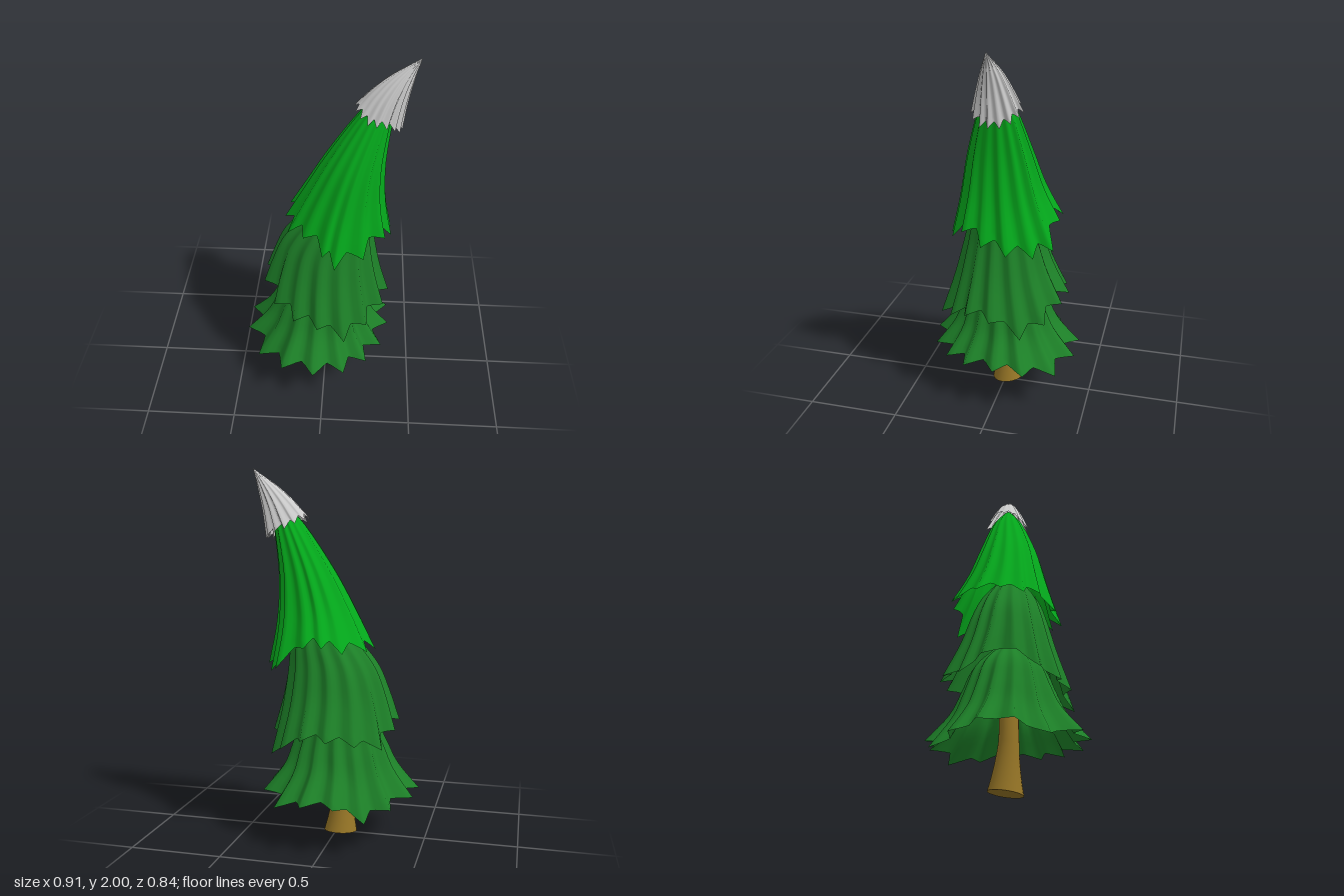
import * as THREE from 'three';

const PLEATS = 15, SAMPLES = 6, ROWS = 16;

function paint(color) {
  return new THREE.MeshStandardMaterial({ color, side: THREE.DoubleSide });
}

// Pleated skirt lofted through rings [y, xMin, xMax, zMin, zMax], listed from top to hem.
// tips holds [x, y, z] of each pleat's ragged end, starting near +x and going round by +z.
function skirt(name, material, rings, tips, { depth, droop, phase }) {
  const curve = (a, b) => new THREE.CatmullRomCurve3(
    rings.map(r => new THREE.Vector3(r[a], r[0], r[b])), false, 'catmullrom', 0.5);
  const xs = curve(1, 2), zs = curve(3, 4);
  const count = PLEATS * SAMPLES;

  // point on the smooth, unpleated surface, with the fold depth k
  const surface = (s, a, k) => {
    const x = xs.getPoint(s), z = zs.getPoint(s);
    return new THREE.Vector3(
      (x.x + x.z) / 2 + (x.z - x.x) / 2 * k * Math.cos(a), x.y,
      (z.x + z.z) / 2 + (z.z - z.x) / 2 * k * Math.sin(a));
  };
  // how far each pleat's end strays from the even hem
  const strays = tips.map((tip, n) =>
    new THREE.Vector3(...tip).sub(surface(1, n / PLEATS * Math.PI * 2 + phase, 1)));

  const positions = [], indices = [];
  for (let i = 0; i <= ROWS; i++) {
    const s = i / ROWS;
    for (let j = 0; j < count; j++) {
      const a = (j / count) * Math.PI * 2 + phase;
      const pleat = Math.floor(j / SAMPLES), f = (j / SAMPLES) % 1;
      // 1 on a pleat's ridge, 0 in the fold
      const ridge = Math.abs(f * 2 - 1) ** 1.3;
      const point = surface(s, a, 1 - depth * (0.35 + 0.65 * s) * (1 - ridge));
      const stray = strays[pleat].clone().lerp(strays[(pleat + 1) % PLEATS], f);
      point.addScaledVector(stray, s ** 2);
      point.y += s ** 2.5 * droop * (1 - ridge);
      positions.push(...point.toArray());
      if (i < ROWS) {
        const p = i * count + j, q = i * count + (j + 1) % count;
        indices.push(p, q, p + count, q, q + count, p + count);
      }
    }
  }
  const geometry = new THREE.BufferGeometry();
  geometry.setAttribute('position', new THREE.Float32BufferAttribute(positions, 3));
  geometry.setIndex(indices);
  geometry.computeVertexNormals();
  const mesh = new THREE.Mesh(geometry, material);
  mesh.name = name;
  return mesh;
}

// Flared trunk with a slightly slanted foot
function trunk() {
  const height = 0.75;
  const geometry = new THREE.CylinderGeometry(1, 1, height, 24, 12);
  const pos = geometry.attributes.position;
  for (let i = 0; i < pos.count; i++) {
    const t = pos.getY(i) / height + 0.5;
    const r = 0.05 + 0.041 * Math.max(0, 1 - t * 2.2) ** 2;
    const z = pos.getZ(i);
    pos.setXYZ(i,
      -0.03 - 0.015 * Math.min(1, t * 2.5) + 0.04 * t * t + pos.getX(i) * r,
      0.013 + t * height - 0.013 * z * (1 - t),
      -0.015 + 0.017 * Math.min(1, t * 3) + z * r);
  }
  geometry.computeVertexNormals();
  const mesh = new THREE.Mesh(geometry, paint(0x967526));
  mesh.name = 'trunk';
  return mesh;
}

export function createModel() {
  const tree = new THREE.Group();
  tree.name = 'leaningFirTree';
  const darkGreen = paint(0x1d8128), brightGreen = paint(0x04aa1c), snow = paint(0xffffff);

  tree.add(trunk());
  tree.add(skirt('lowerBranches', darkGreen, [
    [0.78, -0.08, 0.08, -0.08, 0.08],
    [0.66, -0.21, 0.18, -0.19, 0.19],
    [0.53, -0.28, 0.235, -0.245, 0.245],
    [0.4, -0.345, 0.28, -0.305, 0.305],
    [0.26, -0.46, 0.385, -0.425, 0.42],
  ], [
    [0.37, 0.28, -0.02], [0.33, 0.27, 0.155], [0.245, 0.26, 0.28], [0.12, 0.26, 0.378],
    [-0.05, 0.27, 0.417], [-0.23, 0.27, 0.372], [-0.38, 0.215, 0.22], [-0.457, 0.27, 0.055],
    [-0.45, 0.27, -0.12], [-0.355, 0.24, -0.263], [-0.238, 0.195, -0.372], [-0.085, 0.27, -0.42],
    [0.09, 0.27, -0.42], [0.255, 0.23, -0.345], [0.365, 0.27, -0.185],
  ], { depth: 0.19, droop: 0.015, phase: -0.02 }));
  tree.add(skirt('middleBranches', darkGreen, [
    [1.22, 0.02, 0.2, -0.08, 0.08],
    [1.08, -0.125, 0.25, -0.165, 0.165],
    [0.93, -0.235, 0.27, -0.215, 0.215],
    [0.75, -0.3, 0.305, -0.27, 0.27],
    [0.55, -0.355, 0.36, -0.36, 0.345],
  ], [
    [0.36, 0.57, 0], [0.33, 0.58, 0.14], [0.24, 0.52, 0.25], [0.12, 0.47, 0.34],
    [-0.03, 0.54, 0.325], [-0.165, 0.55, 0.275], [-0.28, 0.58, 0.175], [-0.345, 0.65, 0.055],
    [-0.348, 0.63, -0.11], [-0.3, 0.55, -0.23], [-0.175, 0.58, -0.325], [-0.03, 0.6, -0.36],
    [0.11, 0.6, -0.345], [0.24, 0.53, -0.275], [0.325, 0.47, -0.16],
  ], { depth: 0.17, droop: 0.03, phase: 0.02 }));
  tree.add(skirt('upperBranches', brightGreen, [
    [1.84, 0.3, 0.35, -0.045, -0.005],
    [1.7, 0.165, 0.335, -0.115, 0.07],
    [1.45, 0, 0.31, -0.18, 0.16],
    [1.22, -0.125, 0.32, -0.24, 0.22],
    [1.01, -0.23, 0.36, -0.325, 0.285],
  ], [
    [0.355, 1, 0.04], [0.32, 1.06, 0.15], [0.21, 0.98, 0.235], [0.06, 0.94, 0.285],
    [-0.005, 1, 0.255], [-0.11, 1.06, 0.175], [-0.2, 1.03, 0.09], [-0.222, 1.05, -0.03],
    [-0.205, 1.05, -0.16], [-0.1, 1.05, -0.28], [0, 1.08, -0.32], [0.095, 1.08, -0.32],
    [0.245, 0.97, -0.315], [0.3, 0.94, -0.22], [0.355, 0.96, -0.09],
  ], { depth: 0.17, droop: 0.05, phase: 0.21 }));
  tree.add(skirt('snowCap', snow, [
    [2, 0.448, 0.452, -0.027, -0.023],
    [1.9, 0.31, 0.425, -0.078, 0.025],
    [1.8, 0.215, 0.4, -0.115, 0.065],
    [1.68, 0.13, 0.38, -0.155, 0.105],
  ], [
    [0.38, 1.63, -0.01], [0.365, 1.63, 0.035], [0.34, 1.66, 0.075], [0.3, 1.68, 0.095],
    [0.25, 1.69, 0.1], [0.205, 1.69, 0.08], [0.17, 1.71, 0.05], [0.145, 1.73, 0.01],
    [0.135, 1.73, -0.04], [0.15, 1.73, -0.09], [0.19, 1.71, -0.13], [0.24, 1.68, -0.157],
    [0.295, 1.67, -0.145], [0.345, 1.65, -0.115], [0.37, 1.63, -0.065],
  ], { depth: 0.2, droop: 0.03, phase: 0.1 }));
  return tree;
}
